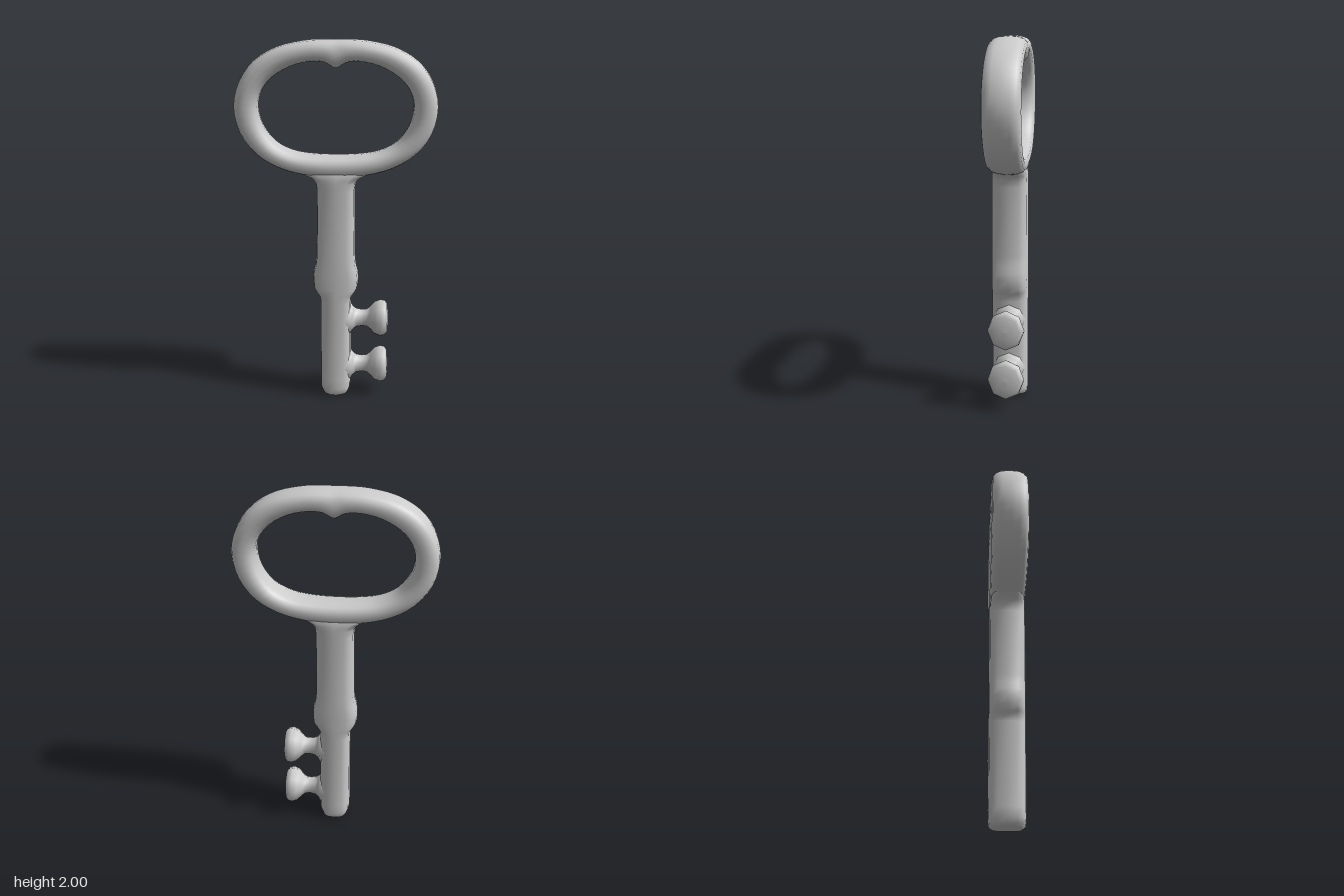
import * as THREE from 'three';

const SEG = 16;
const material = new THREE.MeshStandardMaterial({ color: 0xcccccc });

// Rounded-box section coordinates: unit superellipse point at step j
function section(j, n) {
  const a = (j / SEG) * Math.PI * 2;
  const f = (v) => Math.sign(v) * Math.pow(Math.abs(v), 2 / n);
  return [f(Math.cos(a)), f(Math.sin(a))];
}

// Smooth skin over a list of sections; closed joins the last to the first
function loft(rings, closed) {
  const pos = rings.flat().flatMap((p) => [p.x, p.y, p.z]);
  const index = [];
  const count = closed ? rings.length : rings.length - 1;
  for (let i = 0; i < count; i++) {
    const k = (i + 1) % rings.length;
    for (let j = 0; j < SEG; j++) {
      const m = (j + 1) % SEG;
      const a = i * SEG + j, b = i * SEG + m, c = k * SEG + j, d = k * SEG + m;
      index.push(a, c, b, b, c, d);
    }
  }
  const g = new THREE.BufferGeometry();
  g.setAttribute('position', new THREE.Float32BufferAttribute(pos, 3));
  g.setIndex(index);
  g.computeVertexNormals();
  return g;
}

// Oval handle with a small pointed dip inside its top
function bowGeometry() {
  // Each row: outer x, y and inner x, y, from the top to the bottom
  const half = [
    [0, 2.0, 0, 1.85], [0.07, 2.0, 0.055, 1.88], [0.17, 1.993, 0.13, 1.885],
    [0.31, 1.96, 0.23, 1.862], [0.43, 1.89, 0.33, 1.805], [0.51, 1.785, 0.392, 1.73],
    [0.543, 1.65, 0.412, 1.645], [0.513, 1.51, 0.39, 1.545], [0.43, 1.395, 0.325, 1.455],
    [0.31, 1.32, 0.23, 1.405], [0.17, 1.28, 0.12, 1.387], [0, 1.265, 0, 1.383],
  ];
  const left = half.slice(1, -1).reverse();
  const rows = [...half.map(([a, b, c, d]) => [-a, b, -c, d]), ...left];
  const curve = (k) => new THREE.CatmullRomCurve3(
    rows.map((r) => new THREE.Vector3(r[k], r[k + 1], 0)), true, 'catmullrom', 0.5);
  const outer = curve(0), inner = curve(2);
  const rings = [];
  const steps = rows.length * 3;
  for (let i = 0; i < steps; i++) {
    const o = outer.getPoint(i / steps), n = inner.getPoint(i / steps);
    const mid = o.clone().add(n).multiplyScalar(0.5);
    const arm = o.clone().sub(mid);
    const ring = [];
    for (let j = 0; j < SEG; j++) {
      const [c, s] = section(j, 2.6);
      ring.push(mid.clone().addScaledVector(arm, c).setZ(0.1 * s));
    }
    rings.push(ring);
  }
  return loft(rings, true);
}

// Shank with a collar, flared where it meets the bow
function shankGeometry() {
  // Each row: height, half width, half depth
  const rows = [
    [0, 0, 0], [0.005, 0.05, 0.08], [0.018, 0.07, 0.096], [0.05, 0.083, 0.1],
    [0.1, 0.085, 0.1], [0.56, 0.085, 0.1], [0.59, 0.088, 0.1], [0.61, 0.103, 0.1],
    [0.64, 0.121, 0.1], [0.69, 0.126, 0.1], [0.73, 0.123, 0.1], [0.77, 0.112, 0.1],
    [0.82, 0.107, 0.1], [1.0, 0.104, 0.1], [1.2, 0.104, 0.1], [1.24, 0.11, 0.1],
    [1.262, 0.128, 0.099], [1.28, 0.165, 0.096], [1.3, 0.2, 0.09], [1.33, 0.2, 0.08],
    [1.33, 0, 0],
  ];
  return loft(rows.map(([y, w, d]) => {
    const ring = [];
    for (let j = 0; j < SEG; j++) {
      const [c, s] = section(j, 3);
      ring.push(new THREE.Vector3(w * c, y, d * s));
    }
    return ring;
  }), false);
}

// Mushroom-shaped tooth turned around the x axis
function toothGeometry() {
  const profile = [
    [0.1, 0.055], [0.092, 0.085], [0.07, 0.097], [0.056, 0.115], [0.05, 0.145],
    [0.053, 0.175], [0.07, 0.195], [0.098, 0.22], [0.11, 0.25], [0.104, 0.275],
    [0.085, 0.287], [0.04, 0.293], [0, 0.295],
  ].map(([r, x]) => new THREE.Vector2(r, x));
  const g = new THREE.LatheGeometry(profile, 8);
  g.rotateZ(-Math.PI / 2);
  g.scale(1, 1, 0.91);
  return g;
}

export function createModel() {
  const group = new THREE.Group();
  const add = (name, geometry, y = 0) => {
    const mesh = new THREE.Mesh(geometry, material);
    mesh.name = name;
    mesh.position.y = y;
    group.add(mesh);
  };
  add('bow', bowGeometry());
  add('shank', shankGeometry());
  const tooth = toothGeometry();
  add('upperTooth', tooth, 0.45);
  add('lowerTooth', tooth, 0.172);
  return group;
}
